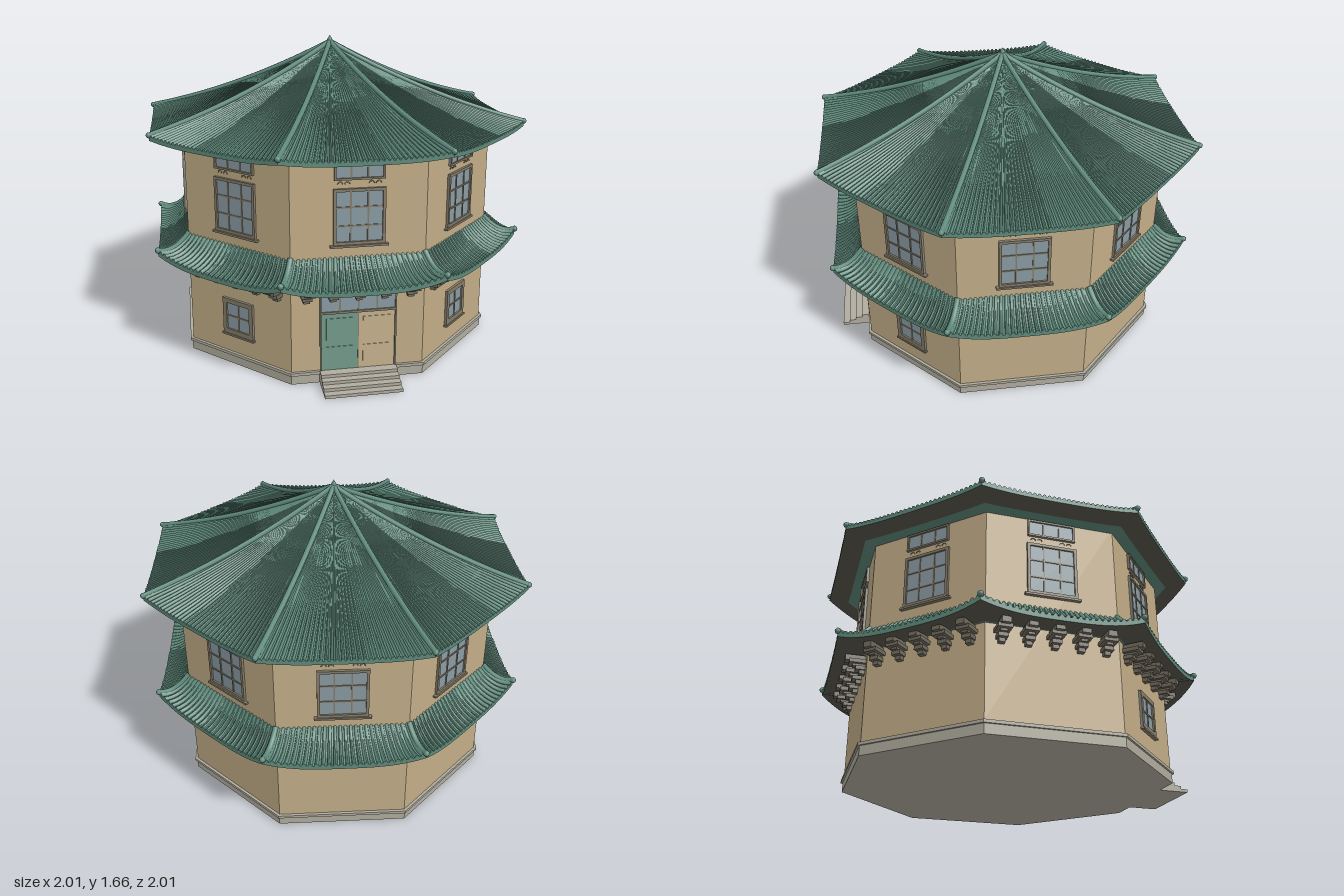
import * as THREE from 'three';
import { toCreasedNormals } from 'three/addons/utils/BufferGeometryUtils.js';

const mat = (name, color, side = THREE.FrontSide) => {
  const m = new THREE.MeshStandardMaterial({ color, side });
  m.name = name;
  return m;
};
const T = Math.tan(Math.PI / 8);
const WALL = 0.82; // distance from axis to each wall face

export function createModel() {
  const plaster = mat('plaster', 0xc2ad87);
  const stone = mat('stone', 0xb0ac9e);
  const tile = mat('greenTile', 0x5f8a7b, THREE.DoubleSide);
  const soffitMat = mat('darkSoffit', 0x5a564c, THREE.DoubleSide);
  const timber = mat('bracketTimber', 0x736d5f);
  const frameMat = mat('windowFrame', 0x857c6a);
  const glass = mat('glass', 0x8a9ba3);
  const doorGreen = mat('greenDoor', 0x739b8a);
  const doorTan = mat('tanDoor', 0xc6b28e);

  const root = new THREE.Group();
  root.name = 'octagonalPavilion';

  const add = (parent, name, geo, material, x = 0, y = 0, z = 0) => {
    const m = new THREE.Mesh(geo, material);
    m.name = name;
    m.position.set(x, y, z);
    parent.add(m);
    return m;
  };
  const box = (parent, name, material, w, h, d, x, y, z) =>
    add(parent, name, new THREE.BoxGeometry(w, h, d), material, x, y, z);

  // Octagonal prism with a flat face towards +z
  const octagon = (name, material, apothem, y0, y1) => {
    const r = apothem / Math.cos(Math.PI / 8);
    const g = new THREE.CylinderGeometry(r, r, y1 - y0, 8, 1, false, Math.PI / 8).toNonIndexed();
    g.computeVertexNormals();
    add(root, name, g, material, 0, (y0 + y1) / 2, 0);
  };
  octagon('plinth', stone, 0.825, 0, 0.05);
  octagon('plinthLedge', stone, 0.835, 0.05, 0.066);
  octagon('walls', plaster, WALL, 0.066, 1.19);

  // Surface from columns us and rows vs
  const grid = (us, vs, fn) => {
    const pos = [], index = [], n = us.length;
    vs.forEach((v) => us.forEach((u) => pos.push(...fn(u, v))));
    for (let j = 0; j < vs.length - 1; j++)
      for (let i = 0; i < n - 1; i++) {
        const a = j * n + i, b = a + 1, c = a + n, d = c + 1;
        index.push(a, c, b, b, c, d);
      }
    const g = new THREE.BufferGeometry();
    g.setAttribute('position', new THREE.Float32BufferAttribute(pos, 3));
    g.setIndex(index);
    return toCreasedNormals(g, 0.75);
  };
  const steps = (n) => Array.from({ length: n + 1 }, (_, i) => i / n);

  // One eight-sided tiled roof: rolls, eave edge, soffit and hip ridges
  const roof = (name, o) => {
    const group = new THREE.Group();
    group.name = name;
    root.add(group);
    const apothem = (v) => o.inner + (o.outer - o.inner) * v;
    const height = (s, v) => o.top - o.drop * v - o.sag * v * (1 - v)
      + o.lift * v * v * Math.abs(s) ** 3;
    const us = [];
    for (let i = 0; i < o.rows; i++)
      for (const c of [-1, -0.7, -0.5, 0, 0.5, 0.7]) us.push(i + (c + 1) / 2);
    us.push(o.rows);
    const surface = (u, v) => {
      const a = apothem(v), s = (2 * u) / o.rows - 1;
      const c = ((u % 1) * 2 - 1) / 0.7;
      const roll = Math.abs(c) < 1 ? Math.sqrt(1 - c * c) * 0.9 * a * T / o.rows : 0;
      return [s * a * T, height(s, v) + roll, a];
    };
    const tiles = grid(us, steps(o.segments), surface);
    const edge = grid(us, [0, 1], (u, v) => {
      const p = surface(u, 1);
      const s = (2 * u) / o.rows - 1;
      if (v) p[1] = height(s, 1) - o.thick;
      return p;
    });
    const under = (a0, a1) => grid(steps(16), [a0, a1], (u, a) => {
      const s = u * 2 - 1, k = (o.outer - a) / (o.outer - WALL);
      const y = (height(s, 1) - o.thick) * (1 - k) + o.soffitY * k;
      return [s * a * T, y, a];
    });
    const outerSoffit = under(o.outer, o.band);
    const innerSoffit = under(o.band, WALL - 0.005);

    const pts = steps(12).map((v) => {
      const a = apothem(v);
      return new THREE.Vector3(a * T, height(1, v) + 0.008, a);
    });
    const ridge = new THREE.TubeGeometry(new THREE.CatmullRomCurve3(pts), 20, o.ridge, 8);
    const end = pts[12];
    for (let k = 0; k < 8; k++) {
      const side = new THREE.Group();
      side.name = name + 'Side';
      side.rotation.y = k * Math.PI / 4;
      group.add(side);
      add(side, 'tileRows', tiles, tile);
      add(side, 'eaveEdge', edge, tile);
      add(side, 'soffit', outerSoffit, soffitMat);
      add(side, 'innerSoffit', innerSoffit, tile);
      add(side, 'hipRidge', ridge, tile);
      add(side, 'ridgeEnd', new THREE.SphereGeometry(o.ridge * 1.1, 8, 6), tile, end.x, end.y, end.z);
    }
  };
  roof('upperRoof', {
    inner: 0.004, outer: 0.99, top: 1.615, drop: 0.42, sag: 0.14, lift: 0.022, rows: 32,
    segments: 9, thick: 0.02, soffitY: 1.165, band: 0.88, ridge: 0.014,
  });
  roof('lowerRoof', {
    inner: 0.815, outer: 0.98, top: 0.67, drop: 0.12, sag: 0.09, lift: 0.05, rows: 26,
    segments: 6, thick: 0.022, soffitY: 0.55, band: 0.83, ridge: 0.015,
  });

  // Finial on the apex
  const finial = [[0.022, 0], [0.022, 0.015], [0.013, 0.025], [0.015, 0.035], [0, 0.06]];
  add(root, 'finial', new THREE.LatheGeometry(finial.map((p) => new THREE.Vector2(...p)), 12), tile, 0, 1.6, 0);

  // Framed, glazed window with glazing bars
  const window_ = (parent, name, w, y0, y1, cols, rows, rim = 0.015) => {
    const g = new THREE.Group();
    g.name = name;
    parent.add(g);
    const h = y1 - y0, cy = (y0 + y1) / 2;
    box(g, 'glassPane', glass, w, h, 0.006, 0, cy, WALL + 0.002);
    for (const s of [-1, 1]) {
      box(g, 'jamb', frameMat, rim, h, 0.02, s * (w - rim) / 2, cy, WALL + 0.004);
      box(g, 'rail', frameMat, w, rim, 0.02, 0, cy + s * (h - rim) / 2, WALL + 0.004);
    }
    for (let i = 1; i < cols; i++)
      box(g, 'glazingBar', frameMat, 0.008, h, 0.012, -w / 2 + (w * i) / cols, cy, WALL + 0.003);
    for (let i = 1; i < rows; i++)
      box(g, 'glazingBar', frameMat, w, 0.008, 0.012, 0, y0 + (h * i) / rows, WALL + 0.003);
  };

  const scroll = new THREE.TorusGeometry(0.012, 0.0025, 5, 10, Math.PI);
  for (let k = 0; k < 8; k++) {
    const face = new THREE.Group();
    face.name = 'wallFace';
    face.rotation.y = k * Math.PI / 4;
    root.add(face);

    // Upper storey windows
    window_(face, 'upperWindow', 0.26, 0.738, 1.022, 3, 3);
    box(face, 'windowSill', frameMat, 0.29, 0.011, 0.03, 0, 0.731, WALL + 0.005);
    window_(face, 'transomWindow', 0.25, 1.065, 1.158, 3, 1, 0.01);
    for (const x of [-0.095, -0.06, 0.06, 0.095])
      add(face, 'scrollOrnament', scroll, frameMat, x, 1.043, WALL + 0.002);

    // Stepped brackets under the lower roof
    for (let i = -2; i <= 2; i++) {
      const bracket = new THREE.Group();
      bracket.name = 'eaveBracket';
      bracket.position.set(i * 0.132, 0, WALL);
      face.add(bracket);
      [[0.032, 0.03, 0.458, 0.02], [0.05, 0.05, 0.478, 0.02], [0.034, 0.065, 0.494, 0.012],
        [0.072, 0.085, 0.51, 0.02], [0.045, 0.105, 0.53, 0.03]].forEach(([w, d, y, h]) =>
        box(bracket, 'bracketBlock', timber, w, h, d, 0, y, d / 2 - 0.002));
    }

    // Ground floor windows on the two front diagonals
    if (k === 1 || k === 7) {
      window_(face, 'groundWindow', 0.2, 0.175, 0.372, 2, 2, 0.025);
      box(face, 'windowSill', frameMat, 0.21, 0.01, 0.03, 0, 0.17, WALL + 0.005);
    }
  }

  // Double door with glazed transom
  const door = new THREE.Group();
  door.name = 'frontDoor';
  root.add(door);
  for (const [s, m] of [[-1, doorGreen], [1, doorTan]]) {
    box(door, 'doorLeaf', m, 0.186, 0.31, 0.01, s * 0.094, 0.221, WALL + 0.002);
    for (const [y, h] of [[0.14, 0.11], [0.285, 0.13]])
      box(door, 'doorPanel', m, 0.14, h, 0.006, s * 0.094, y, WALL + 0.007);
    box(door, 'doorJamb', frameMat, 0.008, 0.42, 0.018, s * 0.192, 0.276, WALL + 0.004);
  }
  box(door, 'meetingStile', frameMat, 0.004, 0.31, 0.014, 0, 0.221, WALL + 0.002);
  box(door, 'lintel', frameMat, 0.38, 0.012, 0.018, 0, 0.381, WALL + 0.004);
  box(door, 'transomGlass', glass, 0.38, 0.1, 0.008, 0, 0.437, WALL + 0.002);
  for (const x of [-0.095, 0, 0.095])
    box(door, 'transomBar', frameMat, 0.008, 0.1, 0.014, x, 0.437, WALL + 0.003);
  box(door, 'doorHead', frameMat, 0.392, 0.01, 0.018, 0, 0.489, WALL + 0.004);

  // Front steps
  for (let i = 0; i < 4; i++) {
    const depth = 0.19 - i * 0.038, h = 0.0165;
    box(root, 'frontStep', stone, 0.395, h, depth, 0, h * (i + 0.5), 0.8 + depth / 2);
  }
  return root;
}
